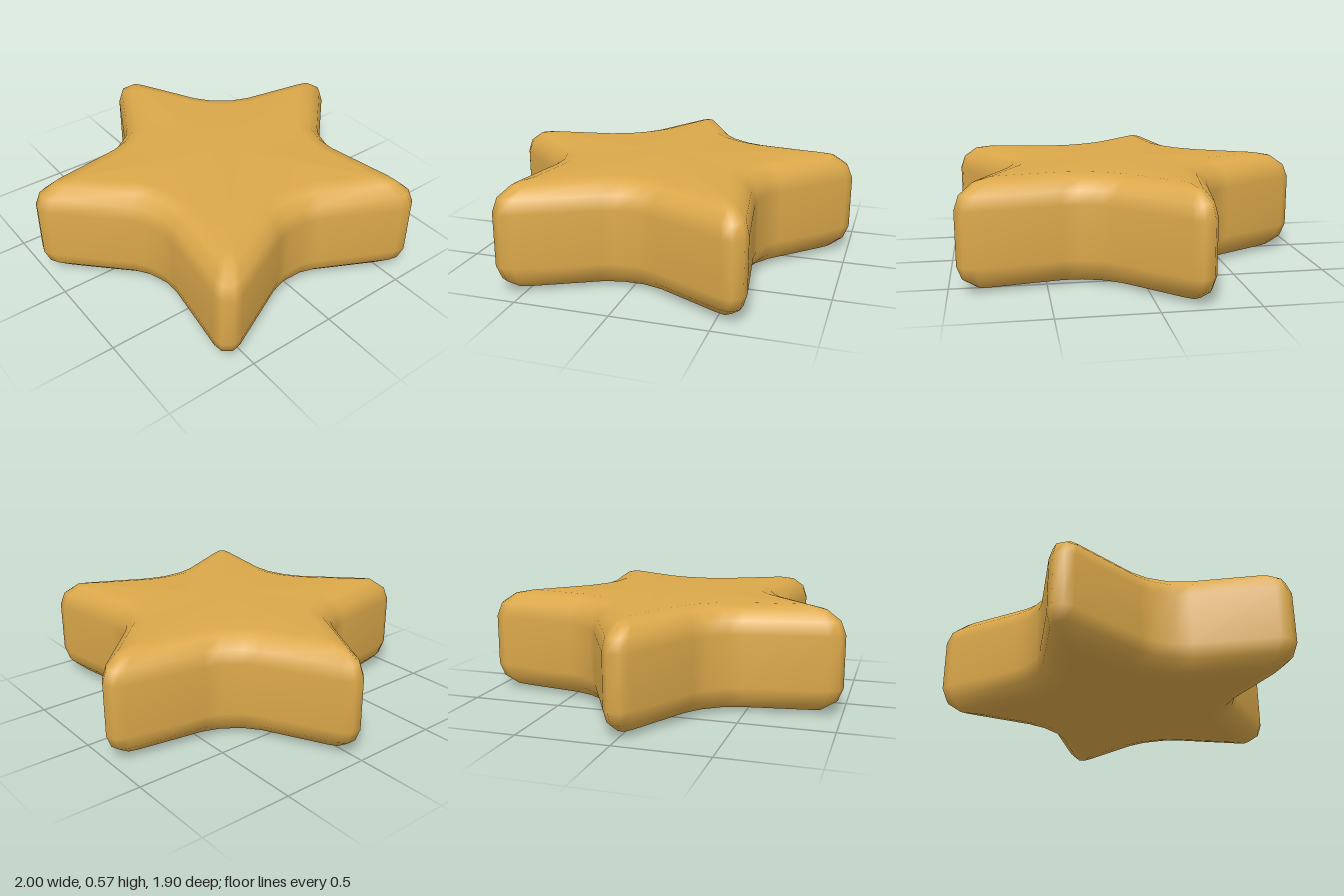
import * as THREE from 'three';

const HEIGHT = 0.575, BEVEL = 0.145, CENTRE_Z = 0.09;

// Half of one arm from tip to notch: [along arm, sideways]
const OUTER = [[1.042, 0.03], [1.0, 0.07], [0.61, 0.272], [0.543, 0.32]];
const INNER = [[0.83, 0.004], [0.79, 0.02], [0.52, 0.155], [0.425, 0.235]];

// Star outline, blended from the outer edge (t = 0) to the flat face's edge (t = 1)
function starOutline(t) {
  const half = OUTER.map(([u, v], i) => [
    u + (INNER[i][0] - u) * t,
    v + (INNER[i][1] - v) * t,
  ]);
  const arm = [...half.map(([u, v]) => [u, -v]).reverse(), ...half];
  const points = [];
  for (let k = 0; k < 5; k++) {
    const a = (k * 2 * Math.PI) / 5, s = Math.sin(a), c = Math.cos(a);
    for (const [u, v] of arm) points.push([u * s + v * c, -u * c + v * s + CENTRE_Z]);
  }
  return points;
}

function starGeometry() {
  // Rounded edge profile: [blend, height], bottom to top
  const top = [0, 1, 2, 3].map((i) => {
    const a = (i * Math.PI) / 6;
    return [1 - Math.cos(a), HEIGHT - BEVEL + BEVEL * Math.sin(a)];
  });
  const profile = [...top.map(([t, y]) => [t, HEIGHT - y]).reverse(), ...top];

  const positions = [], index = [];
  for (const [t, y] of profile) {
    for (const [x, z] of starOutline(t)) positions.push(x, y, z);
  }
  const n = OUTER.length * 10, last = (profile.length - 1) * n;
  const bottomCentre = profile.length * n, topCentre = bottomCentre + 1;
  positions.push(0, 0, CENTRE_Z, 0, HEIGHT, CENTRE_Z);

  for (let i = 0; i < n; i++) {
    const next = (i + 1) % n;
    // Walls and rounded edges
    for (let r = 0; r < last; r += n) {
      const a = r + i, b = r + next;
      index.push(b, a, a + n, b, a + n, b + n);
    }
    // Flat bottom and top
    index.push(bottomCentre, i, next, topCentre, last + next, last + i);
  }

  const geometry = new THREE.BufferGeometry();
  geometry.setAttribute('position', new THREE.Float32BufferAttribute(positions, 3));
  geometry.setIndex(index);
  geometry.computeVertexNormals();
  return geometry;
}

export function createModel() {
  const gold = new THREE.MeshStandardMaterial({ color: 0xdba84a });
  gold.name = 'gold';

  const star = new THREE.Mesh(starGeometry(), gold);
  star.name = 'star';

  const model = new THREE.Group();
  model.name = 'roundedStar';
  model.add(star);
  return model;
}
